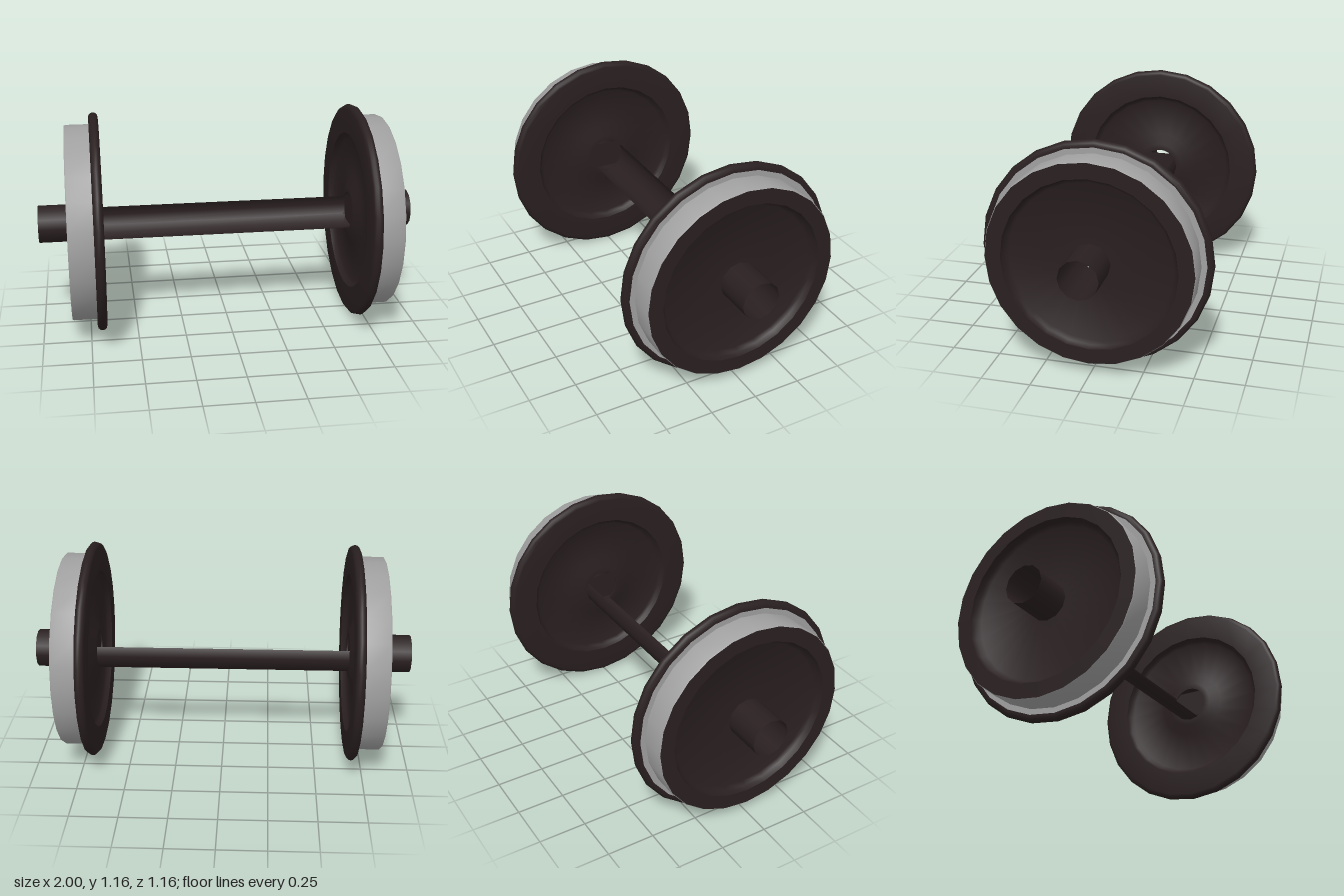
import * as THREE from 'three';
import { toCreasedNormals } from 'three/addons/utils/BufferGeometryUtils.js';

const CENTRE_Y = 0.579;

export function createModel() {
  const iron = new THREE.MeshStandardMaterial({ color: 0x291f20, side: THREE.DoubleSide });
  iron.name = 'dark iron';
  const steel = new THREE.MeshStandardMaterial({ color: 0xa0a0a0, side: THREE.DoubleSide });
  steel.name = 'worn steel';

  const model = new THREE.Group();
  model.name = 'wheelset';

  const add = (parent, geometry, material, name) => {
    const mesh = new THREE.Mesh(geometry, material);
    mesh.name = name;
    parent.add(mesh);
    return mesh;
  };
  // Turned part along the x axis; points are [radius, x]
  const turned = (points) => toCreasedNormals(
    new THREE.LatheGeometry(points.map(([r, x]) => new THREE.Vector2(r, x)), 24).rotateZ(-Math.PI / 2), 0.75);
  // Open tube (or part of one) along the x axis
  const tube = (r, x0, x1, start = 0, sweep = Math.PI * 2, sides = 12) =>
    new THREE.CylinderGeometry(r, r, x1 - x0, sides, 1, true, start, sweep)
      .rotateZ(-Math.PI / 2).translate((x0 + x1) / 2, 0, 0);

  // Rounded flange edge
  const flangeEdge = [];
  for (let i = 0; i <= 6; i++) {
    const a = (i / 6) * Math.PI;
    flangeEdge.push([0.553 + 0.025 * Math.sin(a), 0.691 - 0.025 * Math.cos(a)]);
  }
  // Inner face with a low hub boss and a shallow dished web
  const innerFace = turned([
    [0.097, 0.672], [0.13, 0.672], [0.185, 0.698], [0.395, 0.698], [0.412, 0.688], [0.425, 0.666],
    ...flangeEdge, [0.545, 0.716],
  ]);
  const tread = turned([[0.545, 0.716], [0.517, 0.716], [0.517, 0.838], [0.513, 0.844]]);
  const outerFace = turned([[0.513, 0.844], [0.435, 0.844], [0.425, 0.815], [0.405, 0.8], [0.097, 0.8]]);
  const journal = tube(0.1, 0.672, 1);

  // Web plate across the bore, open at top and bottom
  const bore = new THREE.Shape([
    [0.062, 0.075], [-0.062, 0.075], [-0.087, 0.05], [-0.1, 0], [-0.087, -0.05],
    [-0.062, -0.075], [0.062, -0.075], [0.087, -0.05], [0.1, 0], [0.087, 0.05],
  ].map(([z, y]) => new THREE.Vector2(z, y)));
  const borePlate = new THREE.ShapeGeometry(bore).rotateY(Math.PI / 2).translate(0.68, 0, 0);

  // Two matching wheels, one turned about
  for (const side of ['left', 'right']) {
    const wheel = new THREE.Group();
    wheel.name = side + 'Wheel';
    wheel.position.y = CENTRE_Y;
    if (side === 'right') wheel.rotation.y = Math.PI;
    add(wheel, innerFace, iron, 'flange');
    add(wheel, tread, steel, 'tread');
    add(wheel, outerFace, iron, 'wheelDisc');
    add(wheel, journal, iron, 'journal');
    add(wheel, borePlate, iron, 'borePlate');
    model.add(wheel);
  }

  // Trough-shaped axle, open towards the upper front
  add(model, tube(0.1, -0.68, 0.68, Math.PI / 3, Math.PI * 5 / 6, 5), iron, 'axle').position.y = CENTRE_Y;

  return model;
}
